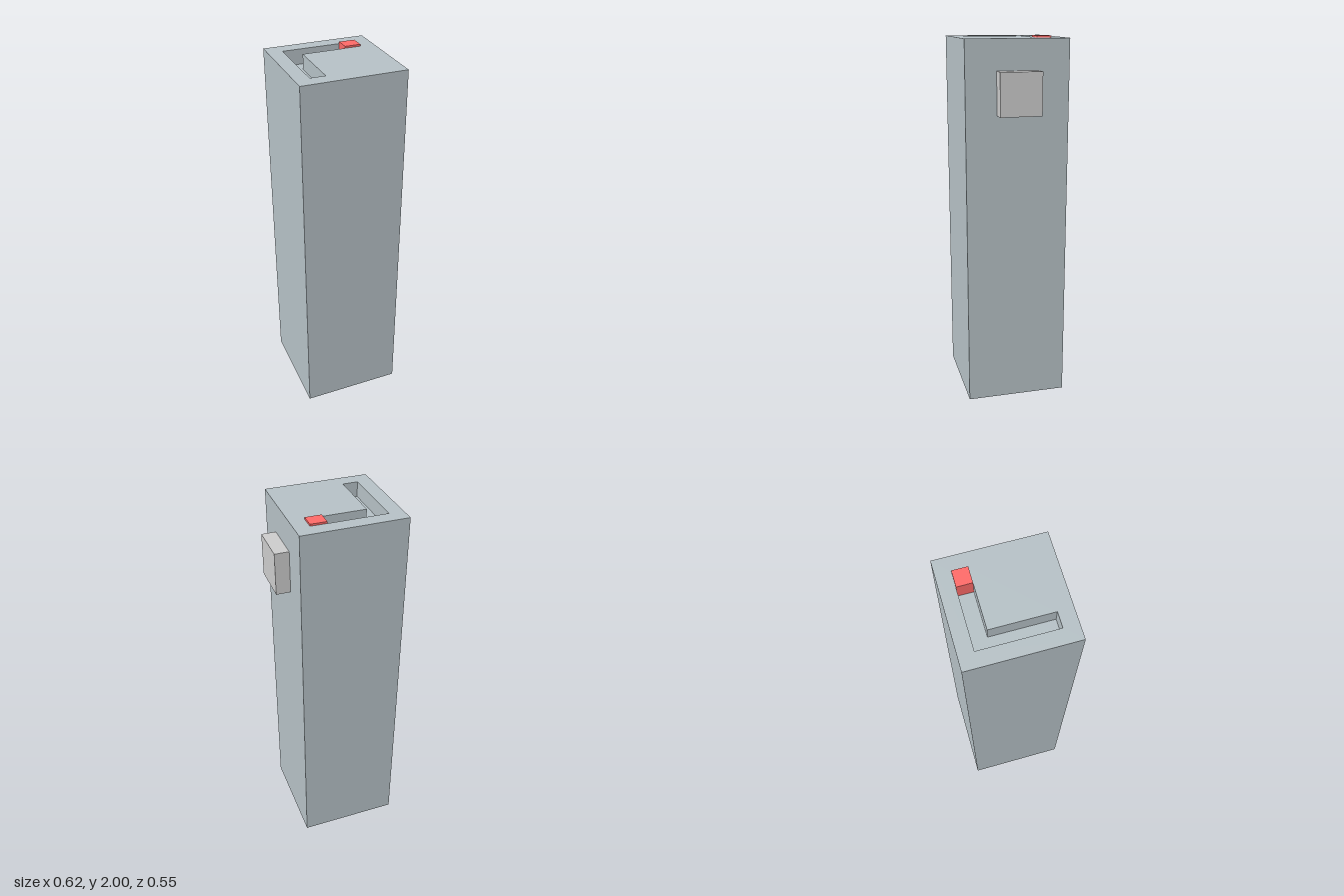
import * as THREE from 'three';

const TOP = 1.99, DEPTH = 0.08; // body height and channel depth
const X0 = -0.3125, X1 = 0.2375, Z = 0.275;

function material(color) {
  return new THREE.MeshStandardMaterial({ color, flatShading: true });
}

// Box given by its minimum and maximum corners
function box(name, min, max, mat) {
  const size = max.map((v, i) => v - min[i]);
  const mesh = new THREE.Mesh(new THREE.BoxGeometry(...size), mat);
  mesh.position.set(...max.map((v, i) => (v + min[i]) / 2));
  mesh.name = name;
  return mesh;
}

function points(list) {
  return list.map(([x, z]) => new THREE.Vector2(x, -z));
}

export function createModel() {
  const group = new THREE.Group();
  group.name = 'pillar';
  const stone = material(0xb5c0c5);

  // Main column, up to the channel floor
  group.add(box('column', [X0, 0, -Z], [X1, TOP - DEPTH, Z], stone));

  // Top slab with an L-shaped channel cut through it
  const slab = new THREE.Shape(points([[X0, Z], [X1, Z], [X1, -Z], [X0, -Z]]));
  slab.holes.push(new THREE.Path(points([
    [-0.235, -0.198], [0.16, -0.198], [0.16, -0.12],
    [-0.155, -0.12], [-0.155, 0.197], [-0.235, 0.197],
  ])));
  const slabGeometry = new THREE.ExtrudeGeometry(slab, { depth: DEPTH, bevelEnabled: false });
  slabGeometry.rotateX(-Math.PI / 2);
  const cap = new THREE.Mesh(slabGeometry, stone);
  cap.position.y = TOP - DEPTH;
  cap.name = 'channelledTop';
  group.add(cap);

  // Red button filling the end of the channel
  group.add(box('redButton', [0.075, TOP - DEPTH, -0.198], [0.16, 2, -0.12], material(0xfd6a68)));

  // Block on the side
  group.add(box('sideBlock', [X1, 1.605, -0.111], [0.3125, 1.83, 0.111], material(0xcccccc)));

  return group;
}
